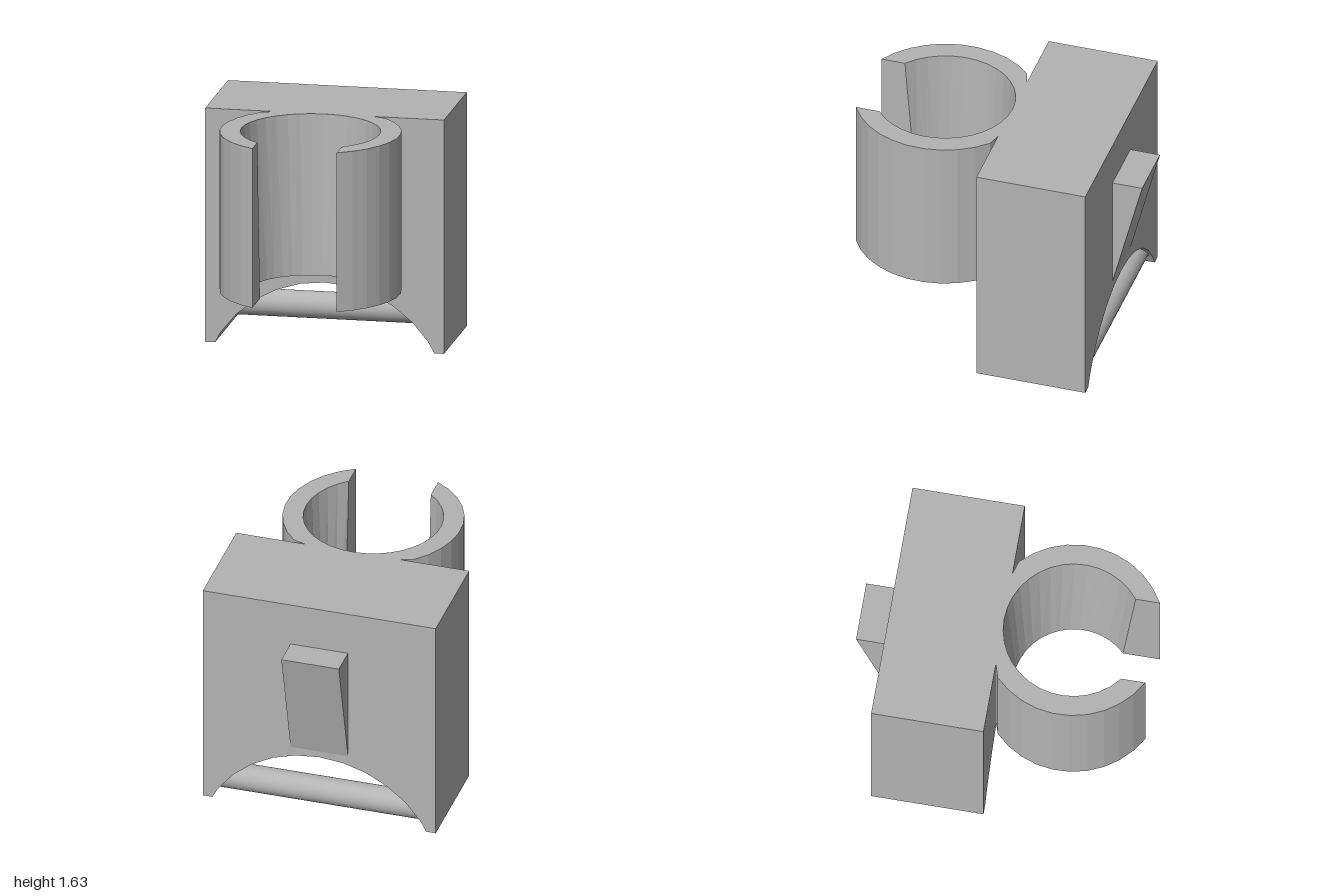
import * as THREE from 'three';

const gray = new THREE.MeshStandardMaterial({ color: 0xb3b3b3 });
gray.name = 'gray';

// Extrude a closed outline along +z by depth
function extrude(points, depth) {
  const shape = new THREE.Shape(points.map(([x, y]) => new THREE.Vector2(x, y)));
  return new THREE.ExtrudeGeometry(shape, { depth, bevelEnabled: false });
}

// Open ring with a tapered bore and a straight-sided slot at the front
function clipGeometry() {
  const segments = 28, cz = 0.455, top = 1.63, bottom = 0.52, slot = 0.29, backZ = -0.02;
  // section corners: radius and height
  const section = [[0.615, top], [0.615, bottom], [0.41, bottom], [0.475, top]];
  const point = (k, i) => {
    const [r, y] = section[k % 4];
    const a = (2 * i / segments - 1) * (Math.PI - Math.asin(slot / r));
    return [r * Math.sin(a), y, Math.max(backZ, cz - r * Math.cos(a))];
  };
  const pos = [];
  const quad = (a, b, c, d) => pos.push(...a, ...b, ...c, ...a, ...c, ...d);
  for (let i = 0; i < segments; i++)
    for (let k = 0; k < 4; k++)
      quad(point(k, i), point(k, i + 1), point(k + 1, i + 1), point(k + 1, i));
  // slot faces
  quad(point(0, 0), point(1, 0), point(2, 0), point(3, 0));
  quad(point(3, segments), point(2, segments), point(1, segments), point(0, segments));
  const g = new THREE.BufferGeometry();
  g.setAttribute('position', new THREE.Float32BufferAttribute(pos, 3));
  g.computeVertexNormals();
  return g;
}

export function createModel() {
  const group = new THREE.Group();
  const add = (name, geometry) => {
    const mesh = new THREE.Mesh(geometry, gray);
    mesh.name = name;
    group.add(mesh);
    return mesh;
  };

  // Block with a faceted arch cut through its underside
  const outline = [[0.755, 0], [0.823, 0], [0.823, 1.63], [-0.823, 1.63], [-0.823, 0], [-0.755, 0]];
  const R = 0.862, step = Math.PI / 16;
  for (let i = -5; i <= 5; i++)
    outline.push([R * Math.sin(i * step), R * Math.cos(i * step) - 0.407]);
  add('block', extrude(outline, 0.77)).position.z = -0.79;

  // Round clip on the front
  add('clip', clipGeometry());

  // Cross bar spanning the arch near the back
  const bar = add('crossBar', new THREE.CylinderGeometry(0.0925, 0.0925, 1.52, 32));
  bar.rotation.z = Math.PI / 2;
  bar.position.set(0, 0.127, -0.675);

  // Wedge hook on the back
  const wedge = extrude([[0.79, 0.5], [1, 1.32], [0.79, 1.32]], 0.406);
  wedge.translate(0, 0, -0.203).rotateY(Math.PI / 2);
  add('wedgeHook', wedge);

  return group;
}
